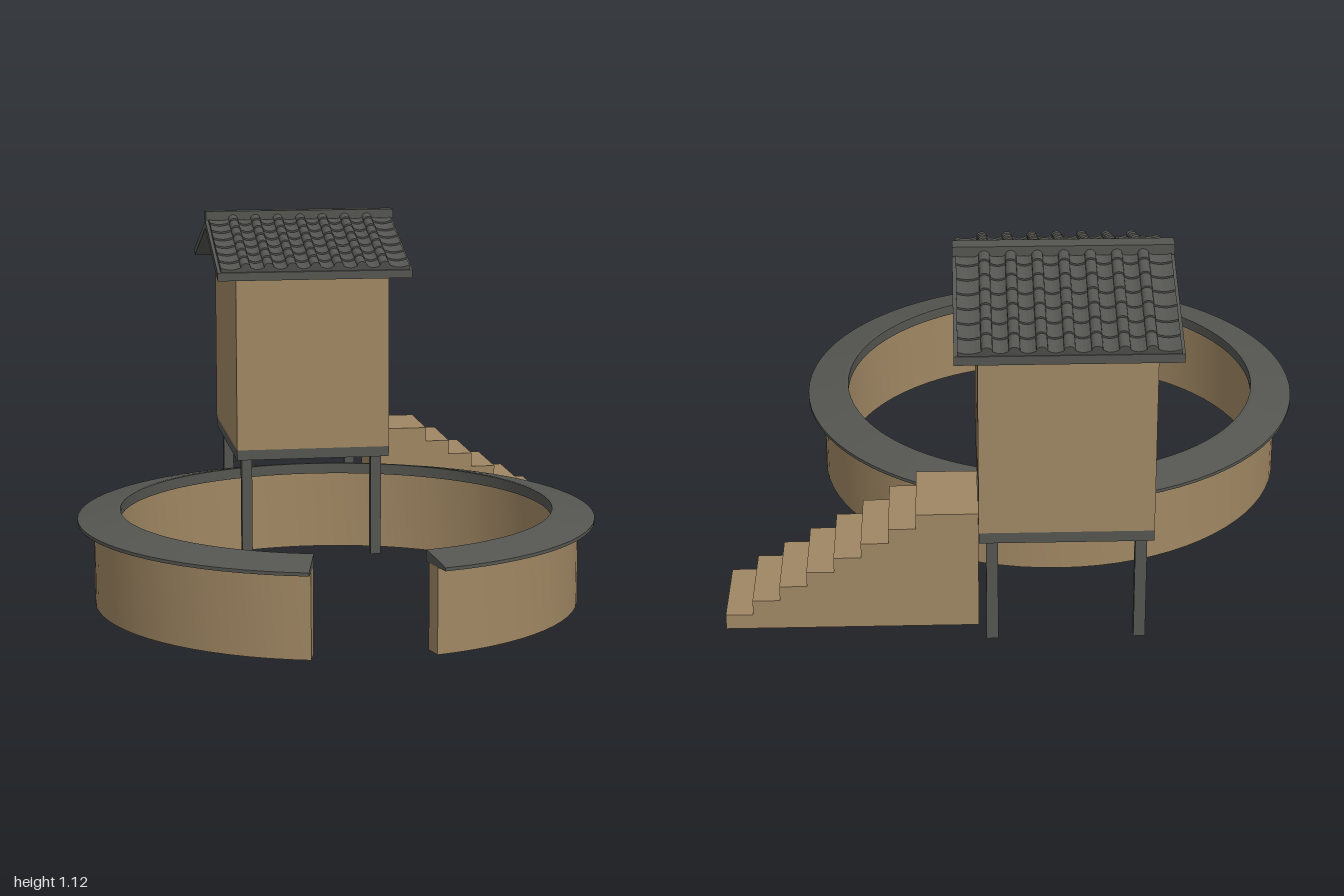
import * as THREE from 'three';
import { toCreasedNormals } from 'three/addons/utils/BufferGeometryUtils.js';

const timber = new THREE.MeshStandardMaterial({ color: 0xa08763 });
timber.name = 'tan timber';
const slate = new THREE.MeshStandardMaterial({ color: 0x555651 });
slate.name = 'dark slate';

function add(parent, name, geometry, material) {
  const mesh = new THREE.Mesh(geometry, material);
  mesh.name = name;
  parent.add(mesh);
  return mesh;
}

// Box given by its limits on each axis
function box(parent, name, material, x0, x1, y0, y1, z0, z1) {
  const mesh = add(parent, name, new THREE.BoxGeometry(x1 - x0, y1 - y0, z1 - z0), material);
  mesh.position.set((x0 + x1) / 2, (y0 + y1) / 2, (z0 + z1) / 2);
  return mesh;
}

const shapeOf = (points) => new THREE.Shape(points.map(([a, b]) => new THREE.Vector2(a, b)));

// Extrudes a (z, y) outline from x0 to x1
function extrudeX(points, x0, x1) {
  return new THREE.ExtrudeGeometry(shapeOf(points), { depth: x1 - x0, bevelEnabled: false })
    .rotateY(-Math.PI / 2).translate(x1, 0, 0);
}

// Sweeps an (r, y) profile round the ring, leaving a gap at the front
function ringPart(parent, name, material, profile) {
  const gap = THREE.MathUtils.degToRad(14);
  const points = [...profile, profile[0]].map(([r, y]) => new THREE.Vector2(r, y));
  const body = new THREE.LatheGeometry(points, 72, gap, 2 * Math.PI - 2 * gap);
  add(parent, name, toCreasedNormals(body, 0.15), material);
  const flipped = profile.map(([r, y]) => [-r, y]);
  add(parent, name + 'LeftEnd', new THREE.ShapeGeometry(shapeOf(profile)).rotateY(gap - Math.PI / 2), material);
  add(parent, name + 'RightEnd', new THREE.ShapeGeometry(shapeOf(flipped)).rotateY(Math.PI / 2 - gap), material);
}

// Cross-section of one course: hollow pans between rounded cover tiles
function tileCourse(length) {
  const half = 0.305, pitch = 0.075, r = 0.016;
  const top = [];
  const pan = (a, b) => {
    for (let k = 0; k <= 4; k++) {
      const t = k / 4;
      top.push([a + (b - a) * t, 0.011 - 0.007 * Math.sin(Math.PI * t)]);
    }
  };
  let from = -half;
  for (let i = -3; i <= 3; i++) {
    const c = i * pitch;
    pan(from, c - r);
    for (let k = 1; k < 8; k++) {
      const a = Math.PI * (1 - k / 8);
      top.push([c + r * Math.cos(a), 0.011 + r * 0.9 * Math.sin(a)]);
    }
    from = c + r;
  }
  pan(from, half);
  return new THREE.ExtrudeGeometry(shapeOf([[-half, -0.004], ...top, [half, -0.004]]),
    { depth: length, bevelEnabled: false });
}

export function createModel() {
  const model = new THREE.Group();
  model.name = 'raisedHutWithRingWall';

  // Ring wall with sloping coping
  const ring = new THREE.Group();
  ring.name = 'ringWall';
  ring.position.set(-0.1, 0, 0.23);
  ringPart(ring, 'wall', timber, [[0.68, 0], [0.74, 0], [0.74, 0.252], [0.68, 0.252]]);
  ringPart(ring, 'coping', slate, [[0.66, 0.252], [0.79, 0.252], [0.79, 0.262], [0.67, 0.286], [0.66, 0.286]]);
  model.add(ring);

  // Hut: posts and floor
  const hut = new THREE.Group();
  hut.name = 'hut';
  model.add(hut);
  for (const x of [-0.315, 0.112])
    for (const z of [-0.318, -0.885])
      box(hut, 'post', slate, x - 0.017, x + 0.017, 0, 0.34, z - 0.017, z + 0.017);
  box(hut, 'floor', slate, -0.35, 0.15, 0.335, 0.368, -0.93, -0.27);

  // Walls, with a doorway in the left gable
  const wallTop = 0.953, apex = 1.062, zMid = -0.6;
  box(hut, 'frontWall', timber, -0.35, 0.15, 0.368, wallTop - 0.003, -0.29, -0.27);
  box(hut, 'backWall', timber, -0.35, 0.15, 0.368, wallTop - 0.003, -0.93, -0.91);
  const gableTop = [[-0.27, 0.368], [-0.27, wallTop], [zMid, apex], [-0.93, wallTop], [-0.93, 0.368]];
  add(hut, 'rightGable', extrudeX(gableTop, -0.35, -0.33), timber);
  const doorway = [[-0.8, 0.368], [-0.8, 0.925], [-0.59, 0.925], [-0.59, 0.368]];
  add(hut, 'leftGable', extrudeX([...gableTop, ...doorway], 0.13, 0.15), timber);
  box(hut, 'lintel', slate, 0.128, 0.152, 0.875, 0.925, -0.8, -0.59);

  // Roof slab
  const roof = new THREE.Group();
  roof.name = 'roof';
  hut.add(roof);
  const reach = 0.397, eave = 0.93, thick = 0.026;
  add(roof, 'roofSlab', extrudeX([
    [zMid + reach, eave], [zMid + reach, eave + thick], [zMid, apex + thick],
    [zMid - reach, eave + thick], [zMid - reach, eave], [zMid, apex],
  ], -0.415, 0.215), slate);
  box(roof, 'ridgeCap', slate, -0.415, 0.215, 1.09, 1.12, zMid - 0.025, zMid + 0.025);

  // Overlapping tile courses on both slopes
  const slope = Math.atan2(apex - eave, reach);
  const rows = 7, step = Math.hypot(reach, apex - eave) / rows;
  const course = tileCourse(step);
  for (const turn of [0, Math.PI]) {
    const side = new THREE.Group();
    side.name = turn ? 'backTiles' : 'frontTiles';
    side.position.set(-0.1, apex + thick, zMid);
    side.rotation.y = turn;
    const pitch = new THREE.Group();
    pitch.name = 'tileSlope';
    pitch.rotation.x = slope;
    side.add(pitch);
    for (let i = 0; i < rows; i++) {
      const tiles = add(pitch, 'tileCourse', course, slate);
      tiles.position.z = i * step;
      tiles.rotation.x = -0.1;
    }
    roof.add(side);
  }

  // Solid stairs up to the door
  const rise = 0.372 / 8, run = 0.08;
  const outline = [[0.15, 0], [0.89, 0]];
  for (let i = 0; i < 8; i++) {
    const x = 0.89 - i * run;
    outline.push([x, (i + 1) * rise], [i < 7 ? x - run : 0.15, (i + 1) * rise]);
  }
  const stairs = new THREE.ExtrudeGeometry(shapeOf(outline), { depth: 0.26, bevelEnabled: false });
  add(model, 'stairs', stairs.translate(0, 0, -0.826), timber);

  return model;
}
